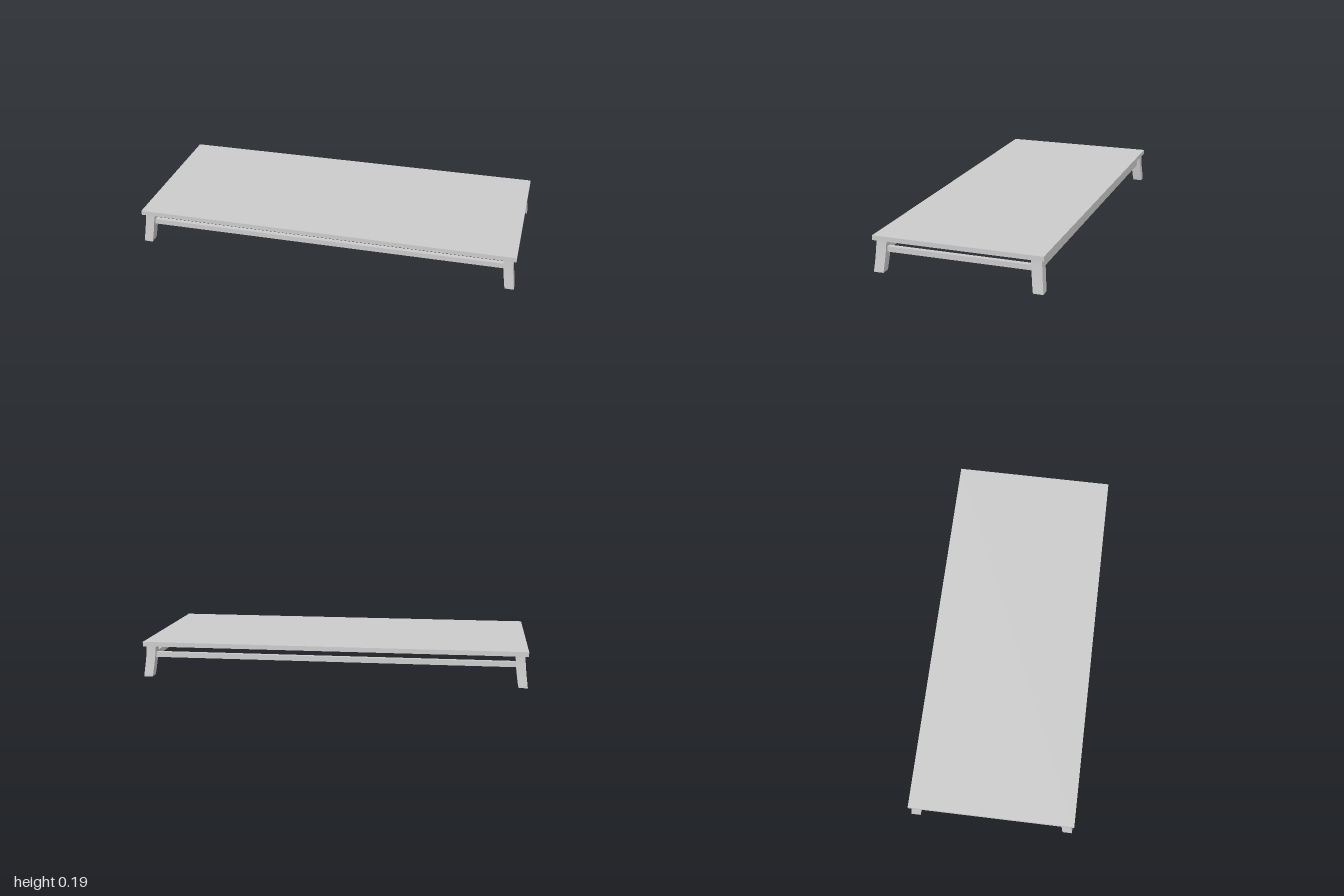
import * as THREE from 'three';

const material = new THREE.MeshStandardMaterial({ color: 0xcccccc });

function addBox(group, name, size, position) {
  const mesh = new THREE.Mesh(new THREE.BoxGeometry(...size), material);
  mesh.name = name;
  mesh.position.set(...position);
  group.add(mesh);
}

// Square leg that sweeps outwards towards the floor, with a slightly eased foot
function legGeometry(sx, sz) {
  const height = 0.163;
  const geometry = new THREE.BoxGeometry(0.049, height, 0.053, 1, 14, 1);
  const p = geometry.attributes.position;
  for (let i = 0; i < p.count; i++) {
    // 0 at the top, 1 at the floor
    const drop = THREE.MathUtils.clamp(0.5 - p.getY(i) / height, 0, 1);
    const sweep = Math.pow(drop, 1.4);
    const ease = drop > 0.99 ? 0.94 : 1 - 0.03 * drop;
    p.setXYZ(
      i,
      p.getX(i) * ease + sx * (0.957 + 0.018 * sweep),
      (1 - drop) * height,
      p.getZ(i) * ease + sz * (0.391 + 0.0135 * sweep)
    );
  }
  geometry.computeVertexNormals();
  return geometry;
}

export function createModel() {
  const model = new THREE.Group();
  model.name = 'lowTable';

  // Thin flat top
  addBox(model, 'tableTop', [1.996, 0.024, 0.862], [0, 0.174, 0]);

  // Four splayed legs
  for (const sx of [-1, 1]) {
    for (const sz of [-1, 1]) {
      const leg = new THREE.Mesh(legGeometry(sx, sz), material);
      leg.name = (sz > 0 ? 'front' : 'back') + (sx > 0 ? 'Left' : 'Right') + 'Leg';
      model.add(leg);
    }
  }

  // Stretchers joining the legs all round
  for (const s of [-1, 1]) {
    addBox(model, s > 0 ? 'frontStretcher' : 'backStretcher', [1.9, 0.027, 0.025], [0, 0.1145, s * 0.39]);
    addBox(model, s > 0 ? 'leftStretcher' : 'rightStretcher', [0.025, 0.027, 0.77], [s * 0.957, 0.1145, 0]);
  }
  return model;
}
